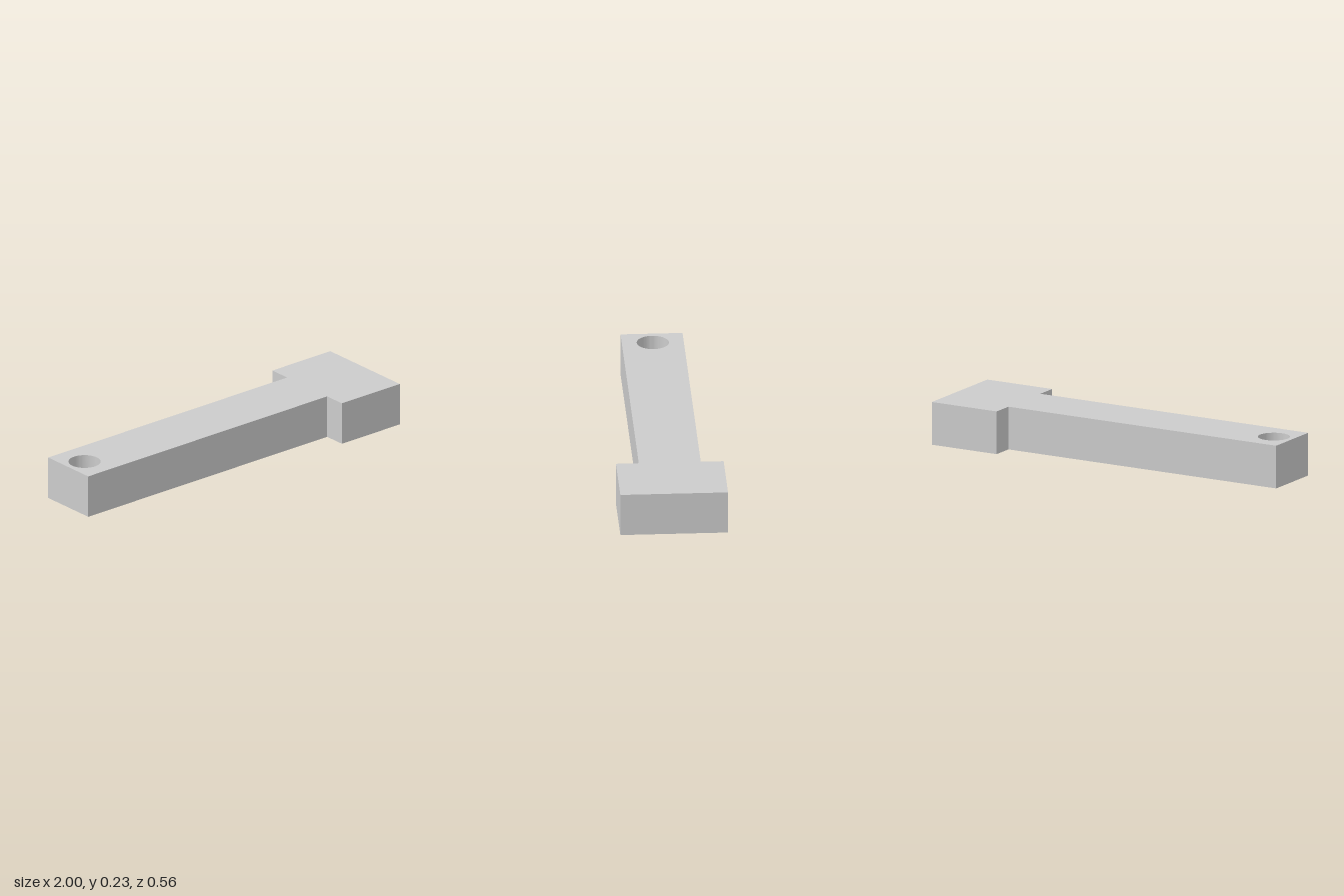
import * as THREE from 'three';
import { toCreasedNormals } from 'three/addons/utils/BufferGeometryUtils.js';

const HEIGHT = 0.227;
const STEP_X = 0.61;       // where the shank meets the head
const SHANK_HALF = 0.16;
const HEAD_HALF = 0.278;
const HOLE = { x: -0.89, radius: 0.083 };

export function createModel() {
  const group = new THREE.Group();

  // T-shaped outline, drawn in plan
  const half = [[-1, SHANK_HALF], [STEP_X, SHANK_HALF], [STEP_X, HEAD_HALF], [1, HEAD_HALF]];
  const mirrored = half.map(([x, y]) => [x, -y]);
  const outline = [...mirrored, ...half.reverse()].map(([x, y]) => new THREE.Vector2(x, y));
  const shape = new THREE.Shape(outline);

  // Round through hole near the shank end
  shape.holes.push(new THREE.Path().absarc(HOLE.x, 0, HOLE.radius, 0, Math.PI * 2, true));

  const extruded = new THREE.ExtrudeGeometry(shape, {
    depth: HEIGHT, bevelEnabled: false, curveSegments: 32,
  });
  extruded.rotateX(-Math.PI / 2);

  const bar = new THREE.Mesh(
    toCreasedNormals(extruded, 0.6),
    new THREE.MeshStandardMaterial({ color: 0xcccccc }),
  );
  bar.name = 'tHeadedBar';
  group.add(bar);
  return group;
}
